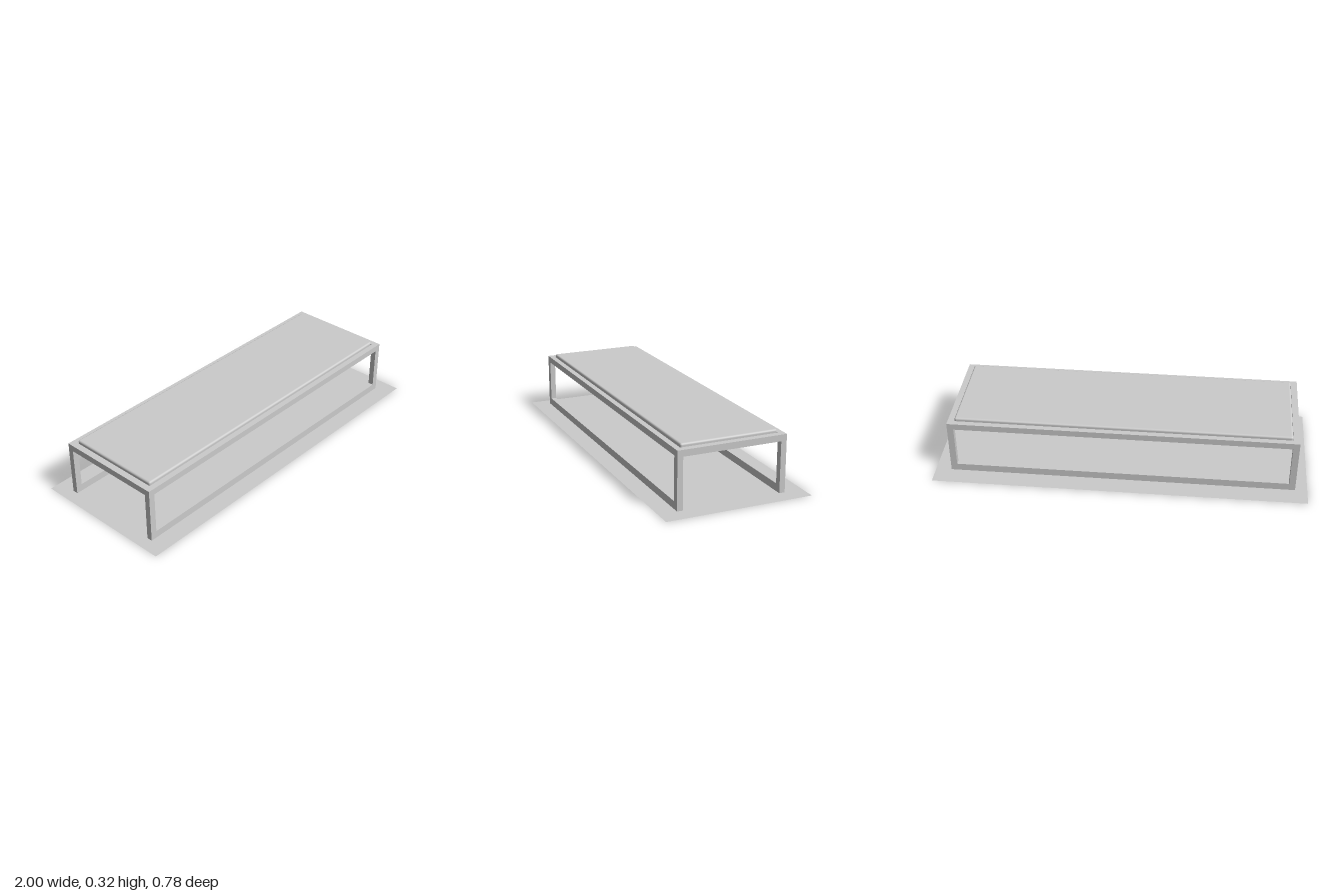
import * as THREE from 'three';
import { RoundedBoxGeometry } from 'three/addons/geometries/RoundedBoxGeometry.js';

export function createModel() {
  const group = new THREE.Group();
  const material = new THREE.MeshStandardMaterial({ color: 0xcccccc });
  const thin = new THREE.MeshStandardMaterial({ color: 0xcccccc, side: THREE.DoubleSide });

  const add = (name, geometry, x, y, z, mat = material) => {
    const mesh = new THREE.Mesh(geometry, mat);
    mesh.name = name;
    mesh.position.set(x, y, z);
    group.add(mesh);
    return mesh;
  };

  // Frame extents (it sits slightly off the middle of the floor sheet)
  const cx = -0.01, cz = 0.004;
  const length = 1.85, depth = 0.582, bottom = 0.002, top = 0.305;
  const bar = 0.034, barDepth = 0.03;
  const height = top - bottom;

  // Front and back rectangular loops, each one closed frame
  for (const side of [1, -1]) {
    const outline = new THREE.Shape([
      new THREE.Vector2(-length / 2, bottom), new THREE.Vector2(length / 2, bottom),
      new THREE.Vector2(length / 2, top), new THREE.Vector2(-length / 2, top),
    ]);
    const hx = length / 2 - bar;
    outline.holes.push(new THREE.Path([
      new THREE.Vector2(-hx, bottom + 0.04), new THREE.Vector2(-hx, top - bar),
      new THREE.Vector2(hx, top - bar), new THREE.Vector2(hx, bottom + 0.04),
    ]));
    const geometry = new THREE.ExtrudeGeometry(outline, { depth: barDepth, bevelEnabled: false });
    geometry.translate(0, 0, -barDepth / 2);
    add(side > 0 ? 'frontFrame' : 'backFrame', geometry, cx, 0, cz + side * (depth - barDepth) / 2);
  }

  // Cross rails joining the loops at the top of each end
  for (const side of [1, -1]) {
    add(side > 0 ? 'leftCrossRail' : 'rightCrossRail',
      new THREE.BoxGeometry(bar, bar, depth - 2 * barDepth),
      cx + side * (length - bar) / 2, bottom + height - bar / 2, cz);
  }

  // Soft-edged top panel dropped into the frame
  add('topPanel', new RoundedBoxGeometry(1.778, 0.042, 0.518, 4, 0.01), cx, 0.301, cz);

  // Thin floor sheet
  const floor = add('floorSheet', new THREE.PlaneGeometry(2, 0.78), 0, 0, 0, thin);
  floor.rotation.x = -Math.PI / 2;

  return group;
}
